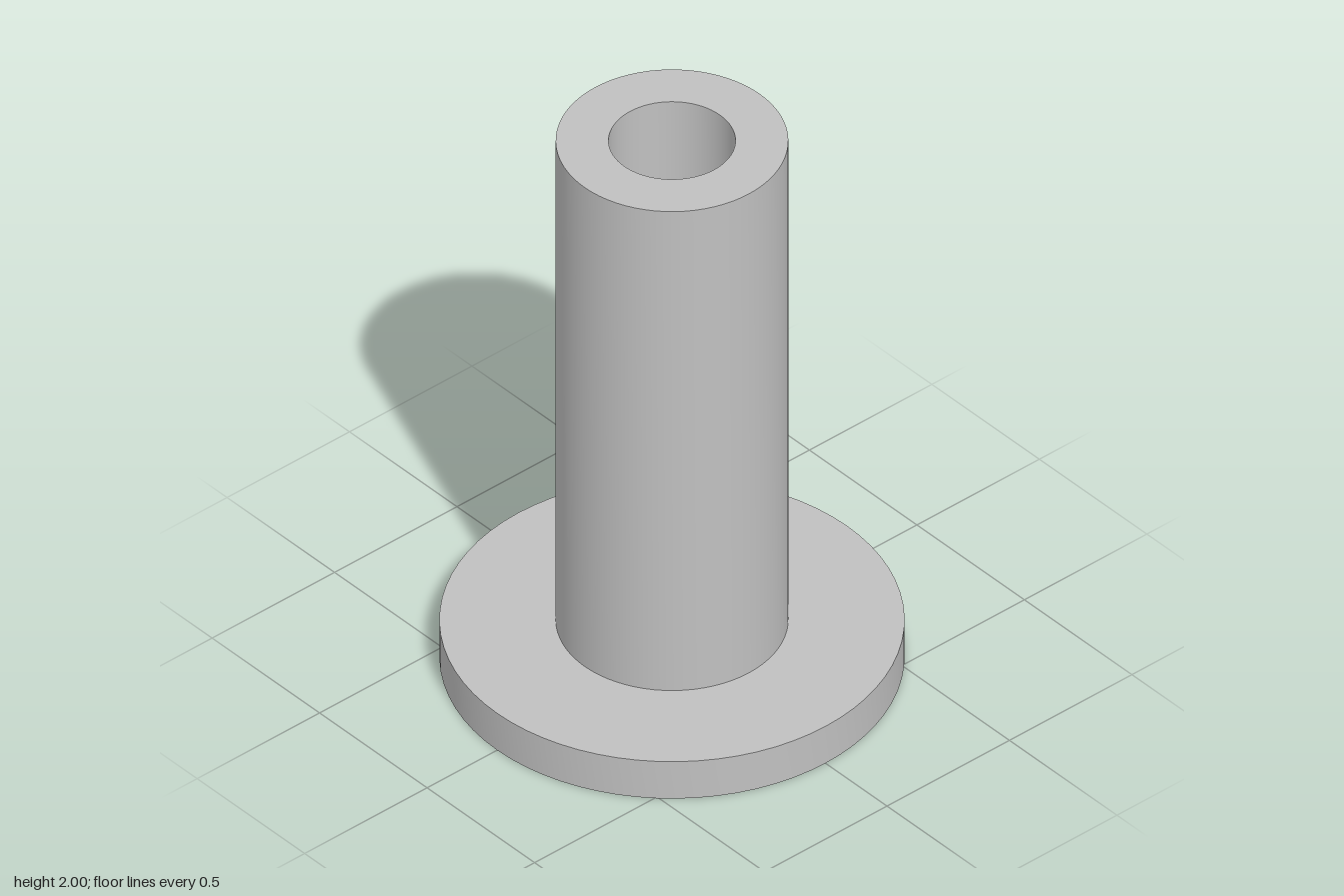
import * as THREE from 'three';
import { toCreasedNormals } from 'three/addons/utils/BufferGeometryUtils.js';

const SEGMENTS = 72;
const FLANGE_RADIUS = 0.714, FLANGE_HEIGHT = 0.143;
const TUBE_RADIUS = 0.357, BORE_RADIUS = 0.195, TOP = 2;

export function createModel() {
  const model = new THREE.Group();
  model.name = 'flangedSleeve';
  const grey = new THREE.MeshStandardMaterial({ color: 0xc0c0c0 });
  grey.name = 'plain grey';

  // Revolve a profile of [radius, height] points, keeping its corners sharp
  const addTurnedPart = (name, profile) => {
    const points = profile.map(([r, y]) => new THREE.Vector2(r, y));
    const geometry = toCreasedNormals(new THREE.LatheGeometry(points, SEGMENTS), Math.PI / 6);
    const mesh = new THREE.Mesh(geometry, grey);
    mesh.name = name;
    model.add(mesh);
  };

  // Round base with a closed underside, open beneath the tube wall
  addTurnedPart('flange', [
    [0, 0], [FLANGE_RADIUS, 0], [FLANGE_RADIUS, FLANGE_HEIGHT], [TUBE_RADIUS, FLANGE_HEIGHT],
  ]);

  // Upright tube: outer wall, rim, bore and bore floor
  addTurnedPart('tube', [
    [TUBE_RADIUS, FLANGE_HEIGHT], [TUBE_RADIUS, TOP], [BORE_RADIUS, TOP],
    [BORE_RADIUS, FLANGE_HEIGHT], [0, FLANGE_HEIGHT],
  ]);

  return model;
}
